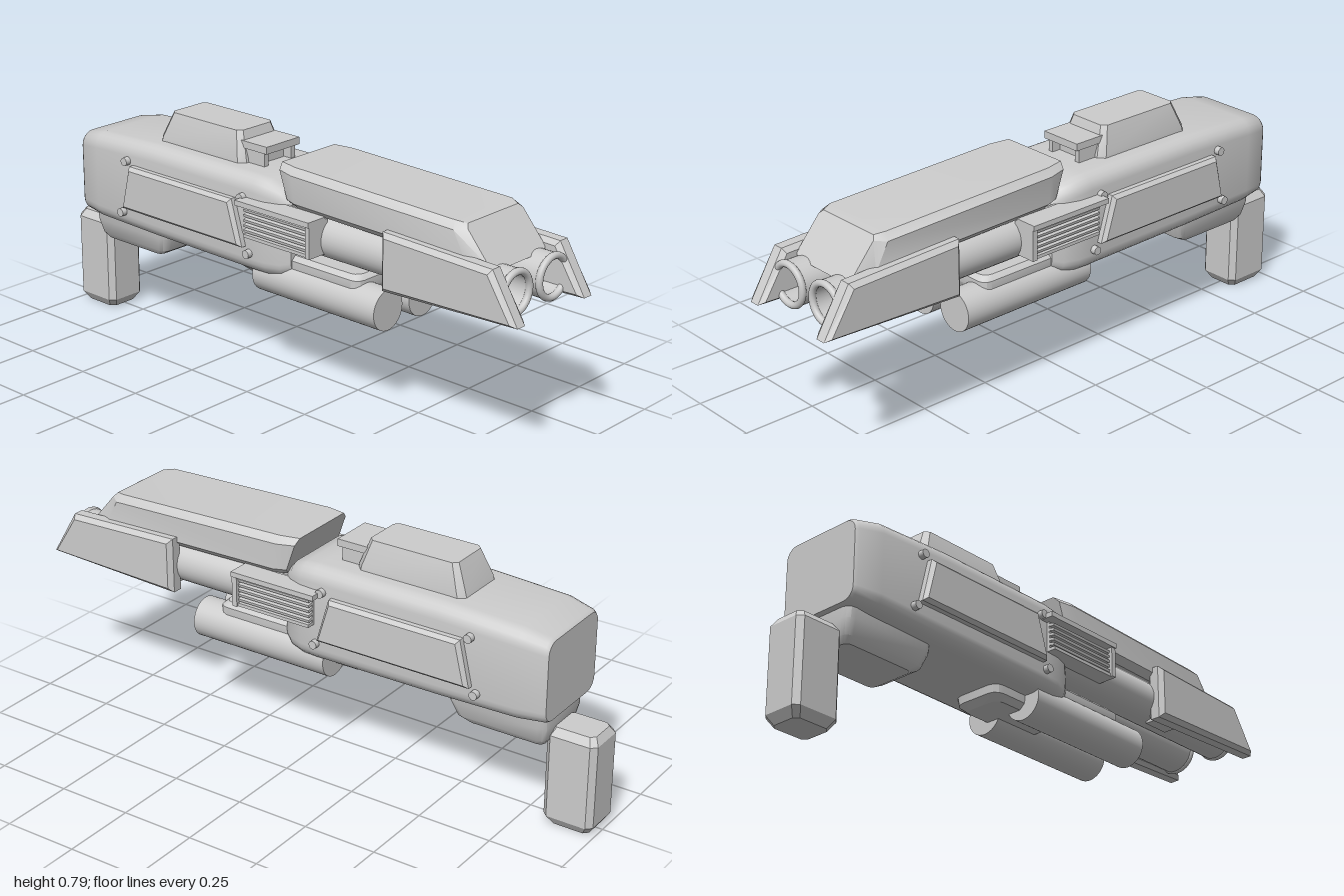
import * as THREE from 'three';
import { toCreasedNormals } from 'three/addons/utils/BufferGeometryUtils.js';

const grey = new THREE.MeshStandardMaterial({ color: 0xcccccc });
grey.name = 'plain grey';

// Rounded (or, with n = 1, chamfered) rectangle, counter-clockwise seen from +z
function roundedRing(hw, lo, hi, r, n) {
  const pts = [];
  const corners = [[hw - r, hi - r], [-hw + r, hi - r], [-hw + r, lo + r], [hw - r, lo + r]];
  corners.forEach(([cx, cy], q) => {
    for (let i = 0; i <= n; i++) {
      const a = (q + i / n) * Math.PI / 2;
      pts.push([cx + r * Math.cos(a), cy + r * Math.sin(a)]);
    }
  });
  return pts;
}

// Skin over rounded rectangles [z or [zBottom, zTop], halfWidth, bottom, top, corner]
function loft(sections, n = 1, crease = 0.5) {
  const pos = [], index = [], m = 4 * (n + 1), last = sections.length - 1;
  sections.forEach(([at, hw, lo, hi, r]) => {
    const [z0, z1] = Array.isArray(at) ? at : [at, at];
    for (const [x, y] of roundedRing(hw, lo, hi, r, n)) {
      pos.push(x, y, z0 + (z1 - z0) * (y - lo) / (hi - lo));
    }
  });
  for (let k = 0; k < last; k++) {
    for (let i = 0; i < m; i++) {
      const j = (i + 1) % m, a = k * m + i, b = k * m + j;
      index.push(a, b, b + m, a, b + m, a + m);
    }
  }
  for (let i = 1; i < m - 1; i++) {
    index.push(0, i + 1, i);
    index.push(last * m, last * m + i, last * m + i + 1);
  }
  const g = new THREE.BufferGeometry();
  g.setAttribute('position', new THREE.Float32BufferAttribute(pos, 3));
  g.setIndex(index);
  return toCreasedNormals(g, crease);
}

// Upright loft: sections [y, halfWidth, zBack, zFront, corner]
function upright(sections, n = 1) {
  return loft(sections.map(([y, hw, back, front, r]) => [y, hw, -front, -back, r]), n)
    .rotateX(-Math.PI / 2);
}

// Bevelled side plate from a (z, y) outline, centred on x = 0
function sidePlate(outline, thickness, bevel) {
  const shape = new THREE.Shape(outline.map(([z, y]) => new THREE.Vector2(z, y)));
  const g = new THREE.ExtrudeGeometry(shape, {
    depth: thickness - 2 * bevel, bevelEnabled: true, bevelThickness: bevel,
    bevelSize: bevel, bevelOffset: -bevel, bevelSegments: 1,
  });
  return g.translate(0, 0, bevel - thickness / 2).rotateY(-Math.PI / 2);
}

export function createModel() {
  const model = new THREE.Group();
  model.name = 'blaster';
  const add = (name, geometry, x = 0, y = 0, z = 0, parent = model) => {
    const mesh = new THREE.Mesh(geometry, grey);
    mesh.name = name;
    mesh.position.set(x, y, z);
    parent.add(mesh);
    return mesh;
  };
  const box = (name, x0, x1, y0, y1, z0, z1, parent) =>
    add(name, new THREE.BoxGeometry(x1 - x0, y1 - y0, z1 - z0),
      (x0 + x1) / 2, (y0 + y1) / 2, (z0 + z1) / 2, parent);

  // Rounded main body
  add('body', loft([
    [-0.865, 0.148, 0.385, 0.65, 0.04],
    [-0.855, 0.155, 0.38, 0.658, 0.045],
    [-0.77, 0.17, 0.374, 0.675, 0.05],
    [-0.5, 0.173, 0.369, 0.687, 0.05],
    [-0.05, 0.173, 0.365, 0.687, 0.05],
    [0, 0.17, 0.365, 0.683, 0.05],
    [0.05, 0.153, 0.37, 0.665, 0.045],
    [0.08, 0.13, 0.382, 0.635, 0.04],
  ], 5, 0.6));

  // Angular shroud over the barrels
  add('upperShroud', loft([
    [[0.08, 0.035], 0.14, 0.615, 0.745, 0.02],
    [[0.12, 0.1], 0.155, 0.612, 0.744, 0.022],
    [[0.8, 0.73], 0.155, 0.6, 0.728, 0.022],
    [[0.87, 0.765], 0.13, 0.6, 0.722, 0.012],
  ]));

  // Raised sight block with a stepped front ledge
  add('topBlock', upright([
    [0.66, 0.1, -0.55, -0.155, 0.02],
    [0.7, 0.1, -0.54, -0.16, 0.02],
    [0.785, 0.077, -0.503, -0.19, 0.015],
  ]));
  box('sightLedge', -0.075, 0.075, 0.732, 0.756, -0.2, -0.075);
  box('sightCore', -0.05, 0.05, 0.67, 0.735, -0.2, -0.12);

  // Lower rear housing and grip
  add('rearHousing', upright([
    [0.275, 0.085, -0.825, -0.56, 0.02],
    [0.295, 0.1, -0.84, -0.525, 0.025],
    [0.345, 0.115, -0.85, -0.505, 0.03],
    [0.4, 0.12, -0.85, -0.5, 0.03],
  ], 3));
  add('grip', upright([
    [0, 0.054, -0.975, -0.845, 0.015],
    [0.03, 0.073, -0.995, -0.825, 0.018],
    [0.31, 0.073, -0.995, -0.825, 0.018],
    [0.335, 0.055, -0.98, -0.84, 0.015],
  ]));

  // Mount holding the lower tubes
  add('tubeMount', upright([
    [0.37, 0.11, -0.03, 0.34, 0.03],
    [0.4, 0.125, -0.04, 0.355, 0.03],
    [0.43, 0.125, -0.04, 0.355, 0.03],
    [0.445, 0.11, -0.03, 0.34, 0.03],
  ], 3));
  add('tubeBridge', upright([
    [0.322, 0.07, -0.175, 0.1, 0.03],
    [0.34, 0.09, -0.2, 0.12, 0.035],
    [0.385, 0.095, -0.205, 0.12, 0.035],
  ], 3));

  // Hollow barrel profile: outer wall, mouth, bore and domed bore end
  const profile = [[0.001, 0], [0.071, 0], [0.071, 0.92], [0.057, 0.92], [0.057, 0.5]];
  for (let i = 1; i <= 8; i++) {
    const a = i / 8 * Math.PI / 2;
    profile.push([Math.max(0.057 * Math.cos(a), 0.0005), 0.5 - 0.057 * Math.sin(a)]);
  }
  const barrel = toCreasedNormals(new THREE.LatheGeometry(
    profile.map(([r, h]) => new THREE.Vector2(r, h)), 32).rotateX(Math.PI / 2), 0.6);
  const ring = new THREE.TorusGeometry(0.0645, 0.0115, 12, 36);
  const tube = new THREE.CylinderGeometry(0.067, 0.067, 0.51, 40).rotateX(Math.PI / 2);
  const blade = sidePlate([[0.495, 0.457], [1, 0.477], [0.905, 0.633], [0.495, 0.645]], 0.064, 0.015);
  const panel = sidePlate([[-0.075, 0.453], [-0.12, 0.605], [-0.59, 0.605], [-0.625, 0.453]].reverse(), 0.08, 0.012);
  const screw = new THREE.CylinderGeometry(0.014, 0.014, 0.05, 16).rotateZ(Math.PI / 2);
  const screws = [[-0.085, 0.615], [-0.615, 0.615], [-0.06, 0.433], [-0.64, 0.433]];

  for (const s of [1, -1]) {
    const side = new THREE.Group();
    side.name = s > 0 ? 'leftSide' : 'rightSide';
    model.add(side);
    const sideBox = (name, x0, x1, ...rest) =>
      box(name, Math.min(s * x0, s * x1), Math.max(s * x0, s * x1), ...rest, side);

    add('barrel', barrel, s * 0.088, 0.541, 0, side);
    add('muzzleRing', ring, s * 0.088, 0.541, 0.922, side);
    add('lowerTube', tube, s * 0.0825, 0.352, 0.185, side);
    add('muzzleBlade', blade, s * 0.16, 0, 0, side);
    sideBox('bladeBracket', 0.1, 0.15, 0.465, 0.52, 0.52, 0.62);
    sideBox('sightLeg', 0.052, 0.07, 0.67, 0.735, -0.19, -0.09);

    // Side panel with its corner screws
    add('sidePanel', panel, s * 0.162, 0, 0, side);
    for (const [z, y] of screws) add('screw', screw, s * 0.166, y, z, side);

    // Louvred vent: back plate, frame and slats
    sideBox('ventBack', 0.13, 0.182, 0.5, 0.615, -0.055, 0.22);
    sideBox('ventTop', 0.14, 0.217, 0.6, 0.617, -0.08, 0.233);
    sideBox('ventBottom', 0.14, 0.205, 0.497, 0.508, -0.055, 0.233);
    sideBox('ventFront', 0.13, 0.212, 0.497, 0.61, 0.215, 0.233);
    for (let i = 0; i < 5; i++) {
      const slat = sideBox('ventSlat', 0.17, 0.202, 0.516 + i * 0.017, 0.525 + i * 0.017, -0.055, 0.218);
      slat.rotation.z = -s * 0.2;
    }
  }
  return model;
}
